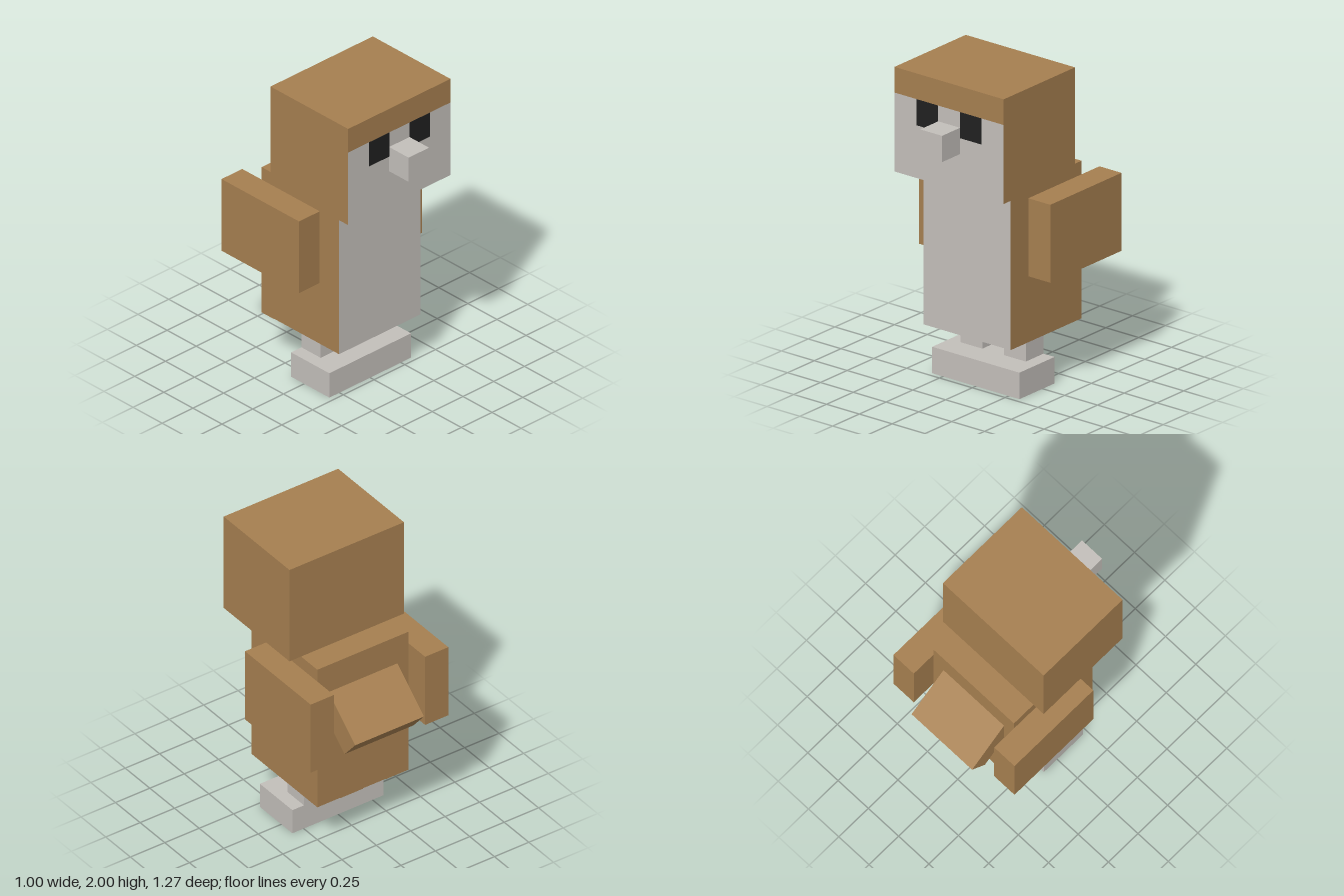
import * as THREE from 'three';

const mat = (name, color) => {
  const m = new THREE.MeshStandardMaterial({ color });
  m.name = name;
  return m;
};

export function createModel() {
  const brown = mat('brown feathers', 0xa67f50);
  const grey = mat('pale grey', 0xc3bfba);
  const black = mat('black', 0x202020);
  const bird = new THREE.Group();
  bird.name = 'blockBird';

  // Box given by its low and high corners
  const box = (name, material, [x0, y0, z0], [x1, y1, z1], parent = bird) => {
    const mesh = new THREE.Mesh(new THREE.BoxGeometry(x1 - x0, y1 - y0, z1 - z0), material);
    mesh.position.set((x0 + x1) / 2, (y0 + y1) / 2, (z0 + z1) / 2);
    mesh.name = name;
    parent.add(mesh);
    return mesh;
  };

  // Head: brown cap over a grey face (face order: +x -x +y -y +z -z)
  const head = new THREE.Group();
  head.name = 'head';
  bird.add(head);
  box('headCap', brown, [-0.416, 1.837, -0.2], [0.416, 2, 0.467], head);
  box('headFace', [brown, brown, brown, brown, grey, brown],
    [-0.416, 1.336, -0.2], [0.416, 1.837, 0.467], head);
  box('beak', grey, [-0.083, 1.57, 0.467], [0.083, 1.737, 0.635], head);

  // Body: grey belly and underside
  box('body', [brown, brown, brown, grey, grey, brown],
    [-0.332, 0.336, -0.365], [0.332, 1.336, 0.3]);

  // Brown feather patches under the rear edge
  for (const x of [0, -0.332])
    box('featherPatch', brown, [x, 0.333, -0.365], [x + 0.166, 0.337, -0.26]);

  // Paired parts
  for (const [side, s] of [['left', 1], ['right', -1]]) {
    const pair = (name, material, x0, x1, y0, y1, z0, z1, parent) =>
      box(side + name, material, [Math.min(s * x0, s * x1), y0, z0],
        [Math.max(s * x0, s * x1), y1, z1], parent);
    pair('Eye', black, 0.083, 0.248, 1.672, 1.837, 0.464, 0.469, head);
    pair('Wing', brown, 0.332, 0.5, 0.755, 1.25, -0.532, 0.134);
    pair('Leg', grey, 0.083, 0.248, 0.168, 0.336, -0.112, 0.054);
    pair('Foot', grey, 0, 0.332, 0, 0.168, -0.112, 0.217);
  }

  // Tail: slab sloping down and back out of the body
  const tail = new THREE.Group();
  tail.name = 'tail';
  tail.position.set(0, 0.91, -0.635);
  tail.rotation.x = -0.705;
  bird.add(tail);
  box('tailSlab', brown, [-0.25, -0.167, 0], [0.25, 0, 0.48], tail);

  return bird;
}
